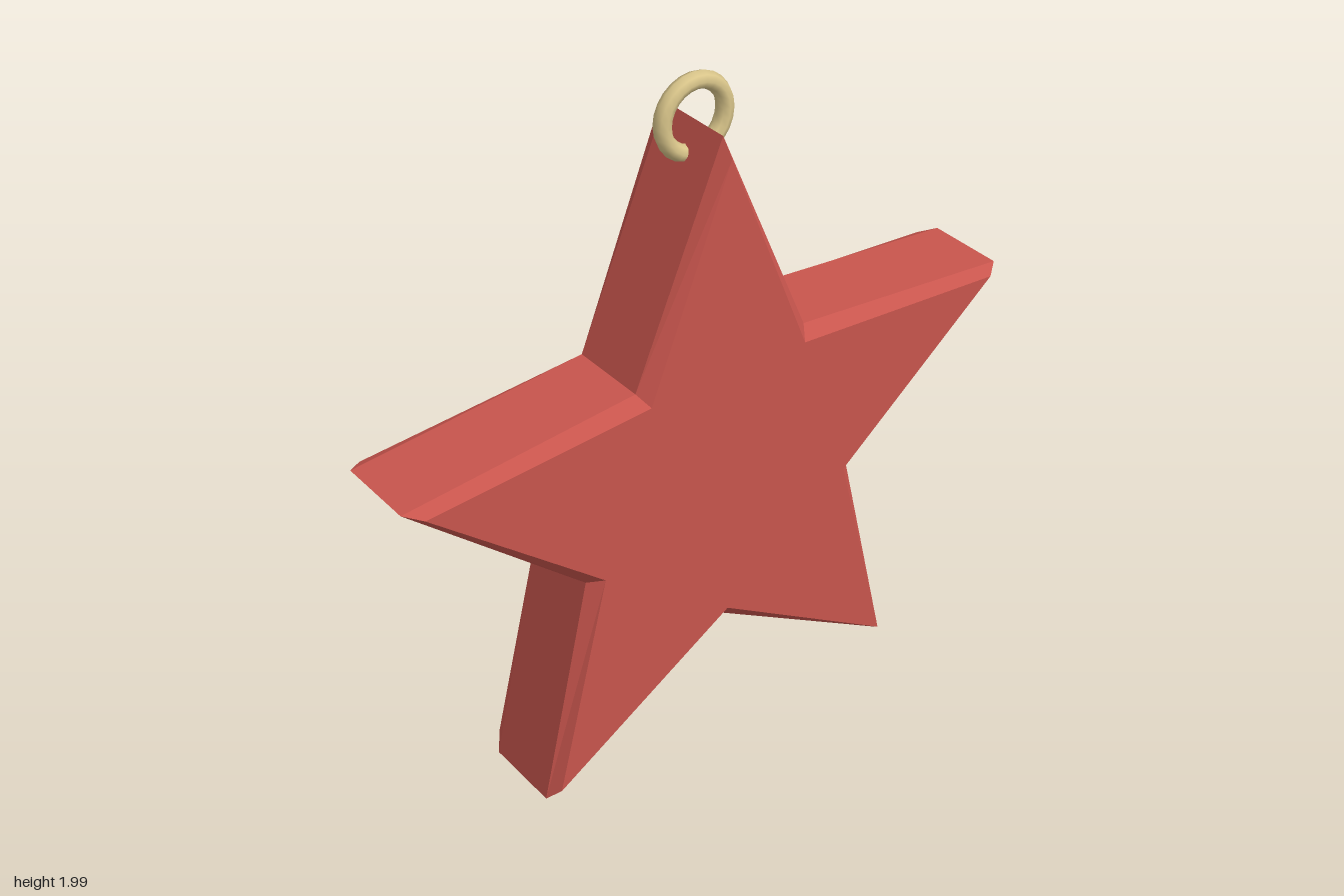
import * as THREE from 'three';

const CENTER_Y = 0.8415;
const TIP_RADIUS = 0.982;
const NOTCH_RADIUS = 0.432;
const DEPTH = 0.236;

// Five-pointed outline of the flat face; the bevel widens it to full size
function starShape() {
  const points = [];
  for (let i = 0; i < 10; i++) {
    const r = i % 2 ? NOTCH_RADIUS : TIP_RADIUS;
    const a = Math.PI / 2 + (i * Math.PI) / 5;
    points.push(new THREE.Vector2(r * Math.cos(a), r * Math.sin(a)));
  }
  return new THREE.Shape(points);
}

export function createModel() {
  const red = new THREE.MeshStandardMaterial({ color: 0xc8554d });
  red.name = 'star red';
  const gold = new THREE.MeshStandardMaterial({ color: 0xd9c58a });
  gold.name = 'pale gold';

  const model = new THREE.Group();
  model.name = 'starOrnament';

  // Thick star with a single chamfer on front and back
  const starGeometry = new THREE.ExtrudeGeometry(starShape(), {
    depth: DEPTH,
    bevelEnabled: true,
    bevelSize: 0.0345,
    bevelThickness: 0.037,
    bevelSegments: 1,
  });
  starGeometry.translate(0, CENTER_Y, -DEPTH / 2);
  const star = new THREE.Mesh(starGeometry, red);
  star.name = 'star';
  model.add(star);

  // Hanging ring through the top point
  const ring = new THREE.Mesh(new THREE.TorusGeometry(0.098, 0.0243, 8, 24), gold);
  ring.name = 'hangingRing';
  ring.position.y = 1.878;
  model.add(ring);

  return model;
}
